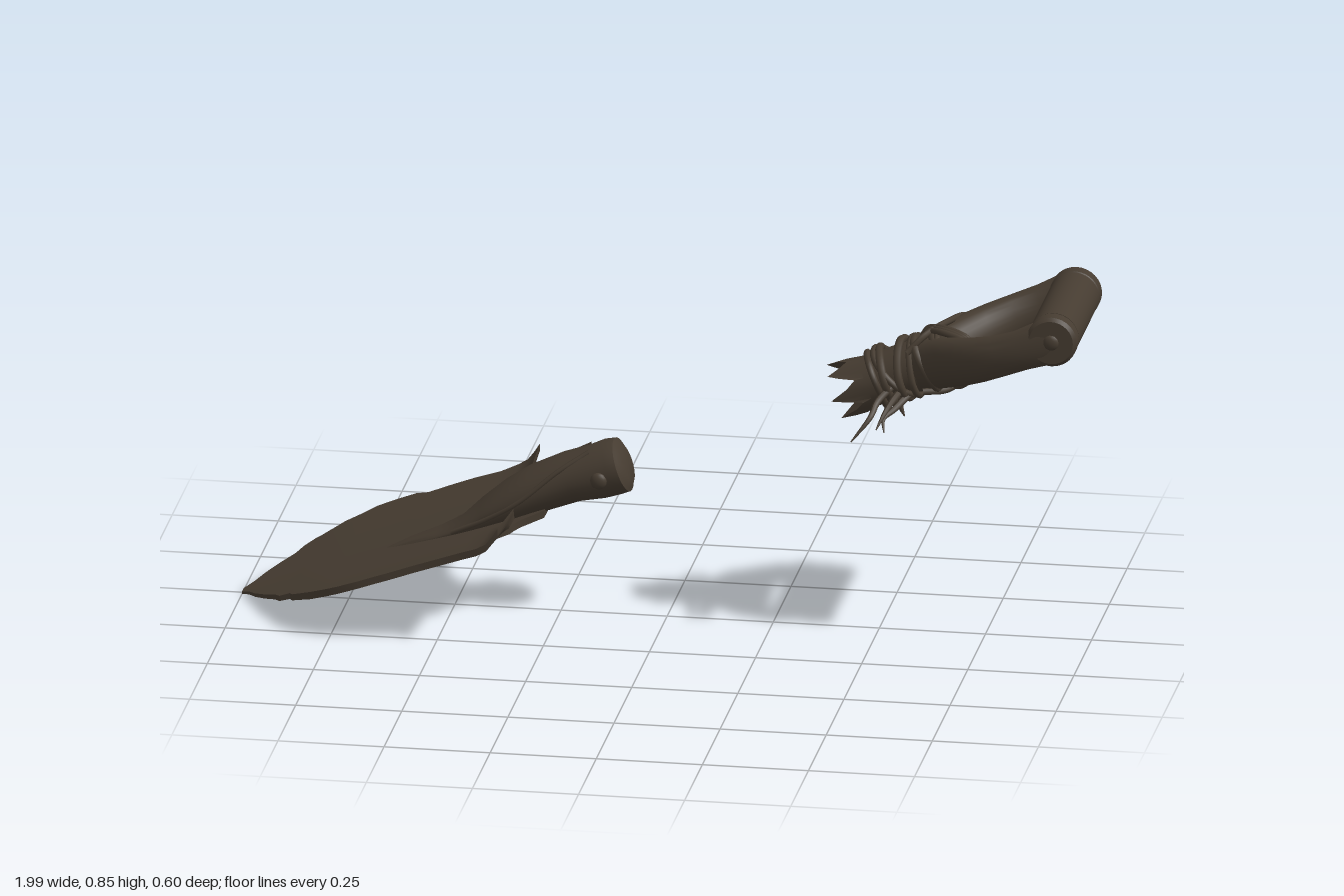
import * as THREE from 'three';
import { toCreasedNormals } from 'three/addons/utils/BufferGeometryUtils.js';

const weatheredBrown = new THREE.MeshStandardMaterial({ color: 0x463c31 });
weatheredBrown.name = 'weatheredBrown';

const V = (x, y, z) => new THREE.Vector3(x, y, z);

function add(parent, name, geometry) {
  const mesh = new THREE.Mesh(geometry, weatheredBrown);
  mesh.name = name;
  parent.add(mesh);
  return mesh;
}

// Closed skin over rings that advance along +x; each ring runs +z, +y, -z, -y.
function loft(rings, crease = 0.7, startInset = 0) {
  const n = rings[0].length, pos = [], idx = [];
  rings.forEach(r => r.forEach(p => pos.push(p.x, p.y, p.z)));
  for (let i = 0; i < rings.length - 1; i++) {
    for (let j = 0; j < n; j++) {
      const a = i * n + j, b = i * n + (j + 1) % n;
      idx.push(a, a + n, b, b, a + n, b + n);
    }
  }
  [0, rings.length - 1].forEach(i => {
    const c = rings[i].reduce((s, p) => s.add(p), V(0, 0, 0)).divideScalar(n);
    if (i === 0) c.x += startInset;
    const k = pos.length / 3;
    pos.push(c.x, c.y, c.z);
    for (let j = 0; j < n; j++) {
      const a = i * n + j, b = i * n + (j + 1) % n;
      if (i === 0) idx.push(k, a, b); else idx.push(k, b, a);
    }
  });
  const g = new THREE.BufferGeometry();
  g.setAttribute('position', new THREE.Float32BufferAttribute(pos, 3));
  g.setIndex(idx);
  return toCreasedNormals(g, crease);
}

// Oval ring through a bottom point and a top point, with half width w.
function oval(xb, yb, xt, yt, w, z = 0, n = 28) {
  return Array.from({ length: n }, (_, j) => {
    const a = j / n * Math.PI * 2, s = Math.sin(a) / 2;
    return V((xb + xt) / 2 + (xt - xb) * s, (yb + yt) / 2 + (yt - yb) * s, z + w * Math.cos(a));
  });
}

const tube = (points, r, seg = 32) =>
  new THREE.TubeGeometry(new THREE.CatmullRomCurve3(points), seg, r, 7);

// Strand that thins to a point at its end.
function strand(points, r) {
  const seg = 20, g = tube(points, r, seg), p = g.attributes.position;
  const curve = new THREE.CatmullRomCurve3(points), v = V(0, 0, 0);
  for (let i = 0; i <= seg; i++) {
    const c = curve.getPointAt(i / seg), k = 1 - 0.85 * (i / seg) ** 2;
    for (let j = 0; j < 8; j++) {
      v.fromBufferAttribute(p, i * 8 + j).sub(c).multiplyScalar(k).add(c);
      p.setXYZ(i * 8 + j, v.x, v.y, v.z);
    }
  }
  g.computeVertexNormals();
  return g;
}

// Cross-section of the dished sheet between zNeg and zPos.
function sheetRing(x, zNeg, zPos, lift = 0, n = 20) {
  const half = 0.003 + 0.006 * Math.min(1, (x + 1) / 0.2);
  const at = (t, side) => {
    const z = THREE.MathUtils.lerp(zPos, zNeg, t);
    const up = lift * THREE.MathUtils.smoothstep(Math.abs(z), 0.09, 0.16);
    return V(x, 0.35 * (x + 1) + 0.004 + 0.28 * z * z + up + side * half, z);
  };
  const top = [], bottom = [];
  for (let j = 0; j <= n; j++) {
    top.push(at(j / n, 1));
    bottom.push(at(1 - j / n, -1));
  }
  return [...top, ...bottom];
}

function buildBlade() {
  const g = new THREE.Group();
  g.name = 'bladeHalf';

  // worn outline: x, right edge, left edge, rear flange lift
  const outline = [
    [-1, -0.012, 0.012], [-0.98, -0.04, 0.03], [-0.96, -0.08, 0.065], [-0.93, -0.12, 0.105],
    [-0.9, -0.15, 0.14], [-0.885, -0.18, 0.17], [-0.86, -0.205, 0.175], [-0.85, -0.21, 0.2],
    [-0.8, -0.25, 0.245], [-0.76, -0.268, 0.268], [-0.73, -0.285, 0.28], [-0.68, -0.292, 0.288],
    [-0.64, -0.294, 0.286], [-0.61, -0.282, 0.288], [-0.55, -0.288, 0.283], [-0.5, -0.29, 0.285],
    [-0.44, -0.286, 0.288], [-0.4, -0.297, 0.295], [-0.378, -0.299, 0.297, 0.005],
    [-0.362, -0.3, 0.298, 0.02], [-0.35, -0.3, 0.298, 0.035],
  ];
  add(g, 'blade', loft(outline.map(r => sheetRing(...r)), 0.8));

  // curved web joining the shoulders to the neck
  const web = [[-0.38, 0.14], [-0.35, 0.125], [-0.343, 0.105], [-0.33, 0.088], [-0.31, 0.076], [-0.28, 0.06]];
  add(g, 'neckWeb', loft(web.map(([x, w]) => sheetRing(x, -w, w)), 0.8));

  // ridge swelling out of the blade into the shaft socket
  add(g, 'socket', loft([
    oval(-0.67, 0.112, -0.67, 0.127, 0.008), oval(-0.6, 0.135, -0.6, 0.163, 0.028),
    oval(-0.54, 0.155, -0.54, 0.188, 0.042), oval(-0.48, 0.175, -0.485, 0.218, 0.054),
    oval(-0.42, 0.195, -0.435, 0.268, 0.064), oval(-0.36, 0.217, -0.38, 0.315, 0.072),
    oval(-0.3, 0.242, -0.325, 0.352, 0.071), oval(-0.2, 0.278, -0.245, 0.39, 0.068),
    oval(-0.14, 0.289, -0.185, 0.41, 0.071), oval(-0.105, 0.3, -0.15, 0.426, 0.073),
    oval(-0.082, 0.309, -0.126, 0.43, 0.073), oval(-0.081, 0.318, -0.119, 0.423, 0.063),
    oval(-0.078, 0.332, -0.107, 0.412, 0.045),
  ]));

  for (const s of [1, -1]) {
    // folded seam along the socket
    add(g, 'socketSeam', tube([V(-0.5, 0.195, 0.05 * s), V(-0.42, 0.235, 0.063 * s), V(-0.34, 0.285, 0.07 * s),
      V(-0.25, 0.36, 0.055 * s), V(-0.18, 0.405, 0.03 * s)], 0.006));
    const rivet = add(g, 'socketRivet', new THREE.SphereGeometry(0.02, 16, 10));
    rivet.scale.z = 0.6;
    rivet.position.set(-0.15, 0.35, 0.07 * s);
  }
  return g;
}

function buildHandle() {
  // local frame: x along the shaft towards the grip, origin at the grip centre
  const g = new THREE.Group();
  g.name = 'handleHalf';
  g.position.set(0.935, 0.795, 0);
  g.rotation.z = 0.385;

  // splintered shaft stub: deep zigzag on the broken end
  const n = 28;
  const round = (x, r) => oval(x, -r, x, r, r, 0, n);
  const teeth = [-0.025, 0.02, 0.045, 0.01];
  const broken = round(-0.555, 0.067).map((p, j) => V(p.x + teeth[j % 4] * (j % 8 < 4 ? 1 : 0.7), p.y, p.z));
  add(g, 'shaftStub', loft([broken, round(-0.49, 0.061), round(-0.42, 0.061), round(-0.34, 0.062),
    round(-0.27, 0.056), round(-0.25, 0.035)], 0.6, 0.06));

  // arms of the D grip: x, z centre, half height, half width
  const arm = [[-0.38, 0.012, 0.056, 0.045], [-0.34, 0.028, 0.06, 0.05], [-0.3, 0.05, 0.061, 0.054],
    [-0.25, 0.086, 0.059, 0.056], [-0.2, 0.12, 0.055, 0.046], [-0.14, 0.149, 0.05, 0.036],
    [-0.08, 0.162, 0.049, 0.027], [-0.03, 0.165, 0.054, 0.024], [0.02, 0.165, 0.052, 0.02]];
  const bevel = [[0, -0.022], [0.054, -0.022], [0.06, -0.016], [0.06, 0.014], [0.052, 0.022], [0, 0.022]]
    .map(p => new THREE.Vector2(...p));
  for (const s of [1, -1]) {
    add(g, 'gripArm', loft(arm.map(([x, z, h, w]) => oval(x, -h, x, h, w, z * s)), 0.9));
    const boss = add(g, 'gripBoss', toCreasedNormals(new THREE.LatheGeometry(bevel, 32), 0.6));
    boss.rotation.x = s * Math.PI / 2;
    boss.position.z = 0.164 * s;
    const rivet = add(g, 'gripRivet', new THREE.SphereGeometry(0.019, 16, 10));
    rivet.scale.z = 0.5;
    rivet.position.z = 0.184 * s;
  }

  // cross bar
  const bar = add(g, 'gripBar', new THREE.CylinderGeometry(0.059, 0.059, 0.286, 36));
  bar.rotation.x = Math.PI / 2;

  // uneven coils of cord, each tilted its own way
  for (let i = 0; i < 8; i++) {
    const x = -0.475 + i * 0.026, tilt = 0.022 * Math.sin(i * 2.3), pts = [];
    for (let k = 0; k < 16; k++) {
      const a = k / 16 * Math.PI * 2;
      const r = 0.067 + 0.003 * Math.sin(3 * a + i);
      const wide = i > 4 ? 1 + (i - 4) * 0.07 : 1;
      pts.push(V(x + tilt * Math.sin(a) + 0.012 * Math.cos(a + i), r * Math.sin(a), r * wide * Math.cos(a)));
    }
    const curve = new THREE.CatmullRomCurve3(pts, true);
    add(g, 'cordCoil', new THREE.TubeGeometry(curve, 48, 0.008 + 0.002 * (i % 2), 7, true));
  }

  // cords crossing over the fork
  for (const y of [1, -1]) {
    for (const k of [0, 1, 2]) {
      add(g, 'crossCord', tube([V(-0.36, 0.04 * y, -0.07 + 0.012 * k), V(-0.32, 0.068 * y, -0.03 + 0.014 * k),
        V(-0.27, 0.066 * y, 0.018 + 0.014 * k), V(-0.225, 0.035 * y, 0.042 + 0.012 * k),
        V(-0.215, 0, 0.044 + 0.012 * k)], 0.008));
    }
    add(g, 'crossCord', tube([V(-0.37, 0.05 * y, 0.055), V(-0.32, 0.07 * y, 0.03),
      V(-0.28, 0.066 * y, -0.035), V(-0.25, 0.04 * y, -0.125), V(-0.25, 0, -0.142)], 0.008));
  }
  return g;
}

export function createModel() {
  const model = new THREE.Group();
  model.name = 'brokenShovel';
  model.add(buildBlade(), buildHandle());

  // frayed cord ends hanging from the coils
  const tails = [
    [V(0.54, 0.62, 0.055), V(0.51, 0.59, 0.09), V(0.5, 0.565, 0.125), V(0.46, 0.515, 0.165)],
    [V(0.56, 0.61, 0.05), V(0.545, 0.595, 0.1), V(0.535, 0.58, 0.135), V(0.52, 0.55, 0.17)],
    [V(0.58, 0.6, 0.04), V(0.55, 0.575, 0.09), V(0.53, 0.56, 0.12), V(0.535, 0.535, 0.145)],
    [V(0.55, 0.67, -0.05), V(0.53, 0.665, -0.09), V(0.515, 0.635, -0.12), V(0.505, 0.595, -0.13)],
    [V(0.6, 0.66, -0.05), V(0.57, 0.645, -0.085), V(0.54, 0.64, -0.11), V(0.53, 0.62, -0.125)],
    [V(0.56, 0.59, 0.02), V(0.555, 0.565, 0.03), V(0.565, 0.54, 0.035)],
  ];
  tails.forEach(t => add(model, 'cordTail', strand(t, 0.009)));
  return model;
}
